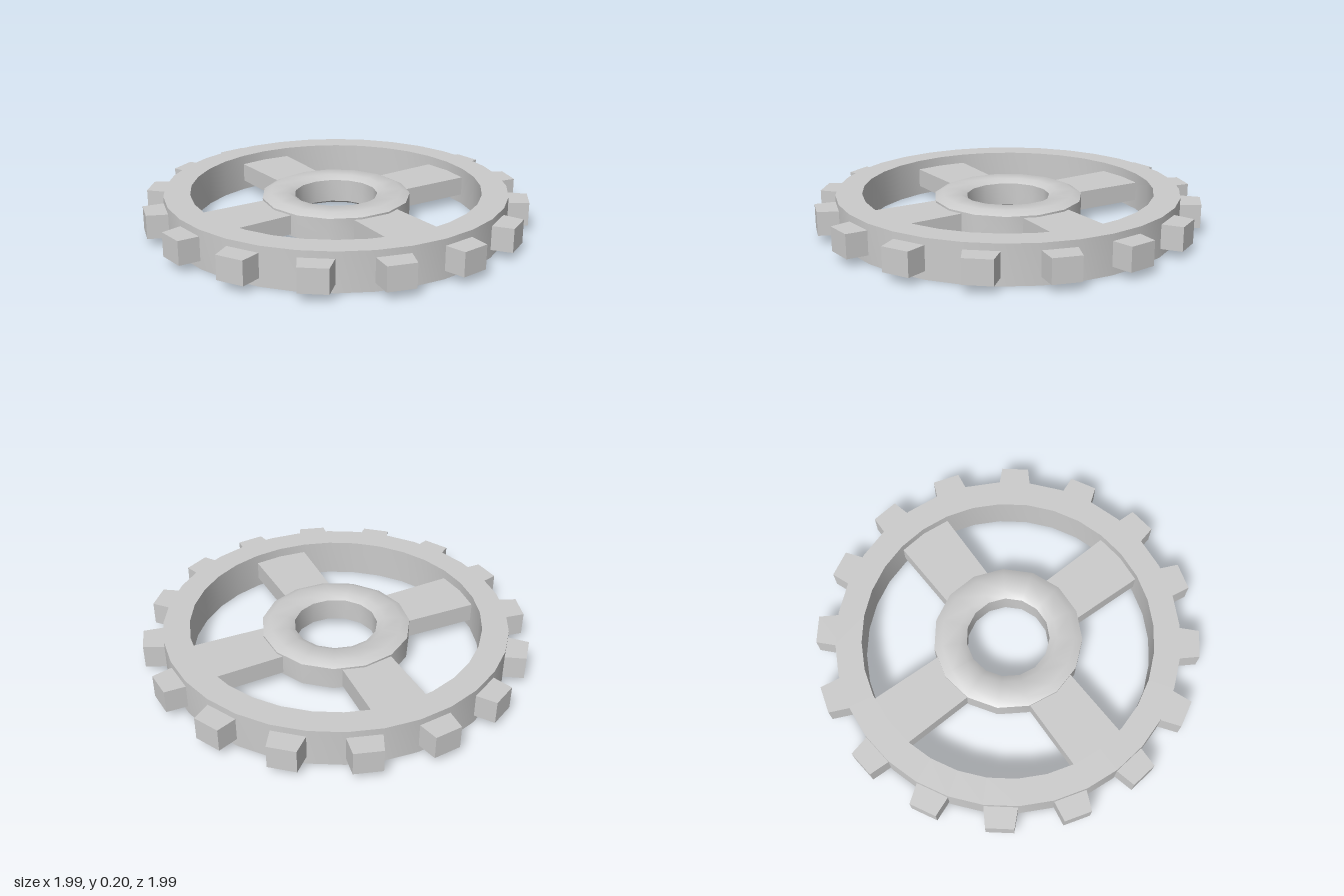
import * as THREE from 'three';
import { toCreasedNormals } from 'three/addons/utils/BufferGeometryUtils.js';

const deg = THREE.MathUtils.degToRad;
const material = new THREE.MeshStandardMaterial({ color: 0xcccccc });

// Closed ring turned about y; profile runs up the outside and down the inside
function ring(name, profile, sides, start) {
  const points = [...profile, profile[0]].map(([r, y]) => new THREE.Vector2(r, y));
  const geometry = new THREE.LatheGeometry(points, sides, start);
  const mesh = new THREE.Mesh(toCreasedNormals(geometry, 0.5), material);
  mesh.name = name;
  return mesh;
}

// Tapered block pointing to -z, from radius r0 (width w0) to r1 (width w1)
function radialBlock(r0, w0, r1, w1, y0, y1) {
  const shape = new THREE.Shape([
    new THREE.Vector2(-w0 / 2, r0), new THREE.Vector2(w0 / 2, r0),
    new THREE.Vector2(w1 / 2, r1), new THREE.Vector2(-w1 / 2, r1),
  ]);
  return new THREE.ExtrudeGeometry(shape, { depth: y1 - y0, bevelEnabled: false })
    .rotateX(-Math.PI / 2).translate(0, y0, 0);
}

// Copies of one block spaced evenly around the axle
function around(name, geometry, count, offset) {
  const group = new THREE.Group();
  group.name = name + 's';
  for (let i = 0; i < count; i++) {
    const mesh = new THREE.Mesh(geometry, material);
    mesh.name = name;
    mesh.rotation.y = -(offset + (i / count) * Math.PI * 2);
    group.add(mesh);
  }
  return group;
}

export function createModel() {
  const model = new THREE.Group();
  model.name = 'gearWheel';

  // Outer rim
  model.add(ring('rim', [[0.892, 0], [0.892, 0.2], [0.757, 0.2], [0.757, 0]], 32, 0));

  // Hub, chamfered outside and around the bore
  model.add(ring('hub', [
    [0.345, 0.02], [0.388, 0.04], [0.388, 0.16], [0.345, 0.18],
    [0.255, 0.18], [0.217, 0.16], [0.217, 0.04], [0.255, 0.02],
  ], 15, deg(-2.4)));

  // Four flat spokes
  model.add(around('spoke', radialBlock(0.33, 0.265, 0.775, 0.294, 0.05, 0.15), 4, deg(11.25)));

  // Sixteen teeth, sunk a little into the rim
  model.add(around('tooth', radialBlock(0.86, 0.178, 0.995, 0.143, 0.042, 0.165), 16, deg(5.7)));

  return model;
}
